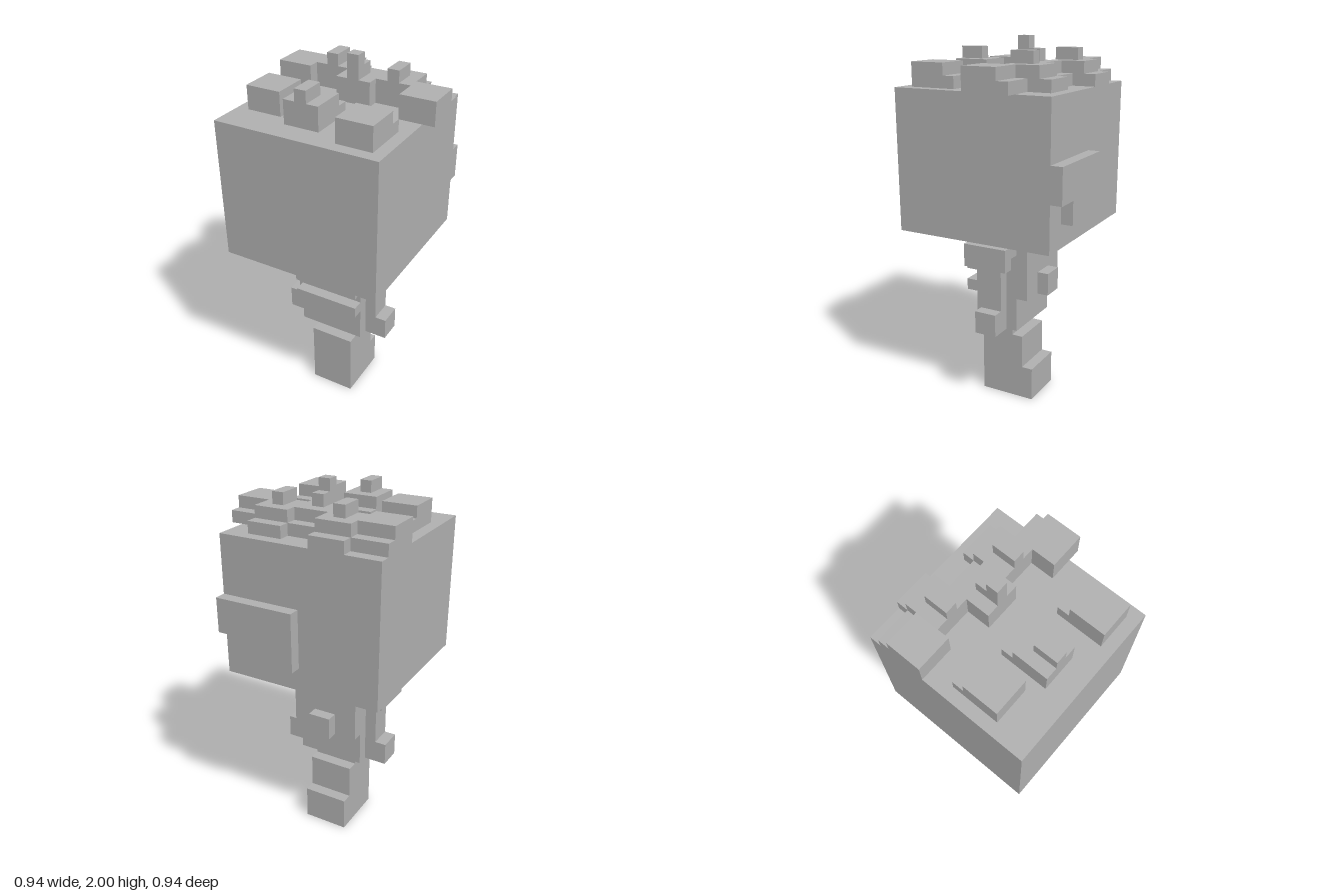
import * as THREE from 'three';

const U = 1 / 16; // edge of one block cell
const OFF = 7.5; // half the grid width, centres x and z

export function createModel() {
  const model = new THREE.Group();
  model.name = 'blockFigure';
  const grey = new THREE.MeshStandardMaterial({ color: 0xb0b0b0 });
  grey.name = 'grey';

  // A box between two grid corners
  function block(parent, name, x0, x1, y0, y1, z0, z1) {
    const geometry = new THREE.BoxGeometry((x1 - x0) * U, (y1 - y0) * U, (z1 - z0) * U);
    const mesh = new THREE.Mesh(geometry, grey);
    mesh.name = name;
    mesh.position.set(((x0 + x1) / 2 - OFF) * U, ((y0 + y1) / 2) * U, ((z0 + z1) / 2 - OFF) * U);
    parent.add(mesh);
  }

  function part(name) {
    const group = new THREE.Group();
    group.name = name;
    model.add(group);
    return group;
  }

  // Legs, with heels reaching back
  const legs = part('legs');
  block(legs, 'lowerLegs', 5, 9, 0, 6, 6, 10);
  block(legs, 'heels', 5, 9, 0, 3, 5, 6);
  block(legs, 'hips', 5, 9, 6, 7, 7, 9);

  // Torso
  const torso = part('torso');
  block(torso, 'waist', 4, 10, 7, 10, 6, 10);
  block(torso, 'upperBody', 4, 10, 10, 15, 5, 10);
  block(torso, 'chest', 4, 10, 12, 15, 10, 11);
  block(torso, 'belt', 4, 10, 10, 11, 10, 11);
  block(torso, 'backKnob', 6, 8, 10, 12, 4, 5);
  block(torso, 'neck', 6, 8, 15, 16, 7, 9);

  // Arms, mirrored about the body's middle at x = 7
  for (const side of [1, -1]) {
    const arm = part(side > 0 ? 'leftArm' : 'rightArm');
    const limb = (name, a, b, ...rest) =>
      side > 0 ? block(arm, name, 7 + a, 7 + b, ...rest) : block(arm, name, 7 - b, 7 - a, ...rest);
    limb('shoulderInner', 3, 4, 14, 15, 6, 10);
    limb('shoulderOuter', 4, 5, 13, 15, 6, 10);
    limb('upperArm', 3, 4, 7, 14, 7, 9);
    limb('hand', 4, 5, 7, 9, 7, 9);
  }

  // Head with a notched plate on the back
  const head = part('head');
  block(head, 'skull', 0, 14, 16, 28, 1, 15);
  block(head, 'backPlateUpper', 7, 14, 20, 23, 0, 1);
  block(head, 'backPlateLower', 7, 12, 18, 20, 0, 1);

  // Hair tufts: a low step behind a taller block; [x, z] is the rear corner
  const tufts = part('hair');
  for (const [x, z] of [[1, 8], [5, 9], [10, 10], [0, 2], [3, 1], [6, 3], [9, 2], [12, 4]]) {
    block(tufts, 'tuftStep', x, x + 3, 28, 29, z, z + 1);
    block(tufts, 'tuft', x, x + 3, 28, 30, z + 1, z + 4);
  }
  // Small spikes on some tufts
  for (const [x, z] of [[6, 11], [4, 3], [7, 5], [10, 4]]) {
    block(tufts, 'spike', x, x + 1, 30, 31, z, z + 2);
  }
  block(tufts, 'spikeTip', 7, 8, 31, 32, 6, 7);

  return model;
}
